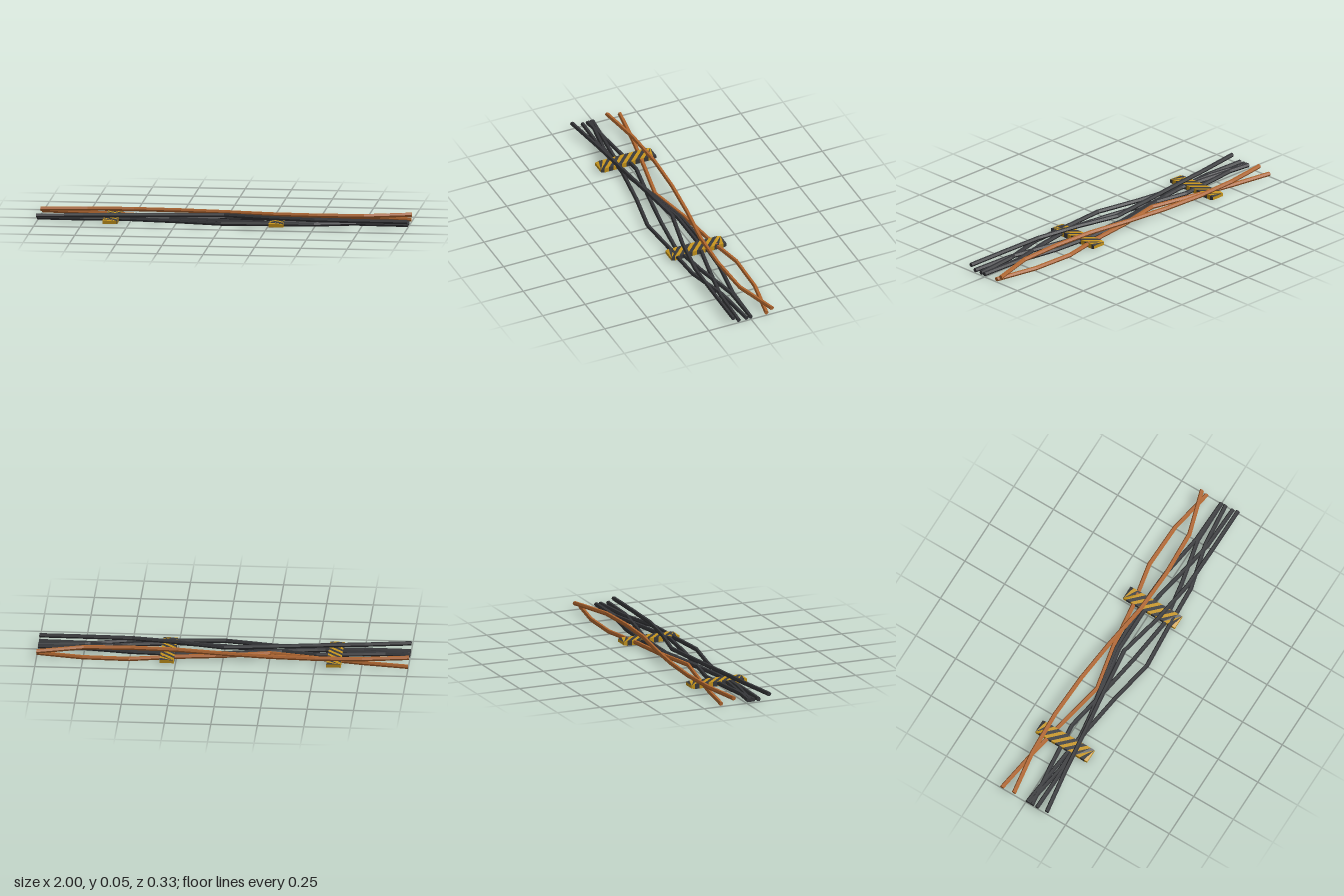
import * as THREE from 'three';

const mat = (name, color) => {
  const m = new THREE.MeshStandardMaterial({ color });
  m.name = name;
  return m;
};

// Skin a list of equal rings of points (counter-clockwise seen from the last
// ring's side) and close both ends; faces are flat.
// groupOf(k) picks the material index of the band after ring k; ends use 0.
function skin(rings, groupOf = () => 0) {
  const n = rings[0].length;
  const last = rings.length - 1;
  const pos = [];
  const geo = new THREE.BufferGeometry();
  const tri = (a, b, c) => pos.push(...a, ...b, ...c);
  for (let k = 0; k < last; k++) {
    for (let i = 0; i < n; i++) {
      const j = (i + 1) % n;
      tri(rings[k][i], rings[k][j], rings[k + 1][j]);
      tri(rings[k][i], rings[k + 1][j], rings[k + 1][i]);
    }
    geo.addGroup(k * n * 6, n * 6, groupOf(k));
  }
  for (let i = 1; i < n - 1; i++) {
    tri(rings[0][0], rings[0][i + 1], rings[0][i]);
    tri(rings[last][0], rings[last][i], rings[last][i + 1]);
  }
  geo.addGroup(last * n * 6, (n - 2) * 6, 0);
  geo.setAttribute('position', new THREE.Float32BufferAttribute(pos, 3));
  geo.computeVertexNormals();
  return geo;
}

// Six-sided cable along x; zs are sideways positions at even steps
function cableGeometry(y, zs, r = 0.012) {
  const rings = zs.map((z, k) => {
    const ring = [];
    for (let i = 0; i < 6; i++) {
      const a = (i * Math.PI) / 3;
      ring.push([-1 + (2 * k) / (zs.length - 1), y + r * Math.sin(a), z - r * Math.cos(a)]);
    }
    return ring;
  });
  return skin(rings);
}

// Flat clamp bar along z with diagonal bands and chamfered ends
function clampGeometry(x, halfW = 0.0385, halfL = 0.163, height = 0.027) {
  const band = 0.026, slant = 1, chamfer = 0.005;
  const rings = [];
  for (let k = -9; k <= 9; k++) {
    rings.push([[-1, 0], [1, 0], [1, 1], [-1, 1]].map(([side, top]) => {
      const z = THREE.MathUtils.clamp(k * band + slant * side * halfW, -halfL, halfL);
      const inset = Math.abs(z) === halfL ? chamfer : 0;
      return [x + side * halfW, top ? height - inset : inset, z];
    }));
  }
  return skin(rings, (k) => k % 2);
}

export function createModel() {
  const model = new THREE.Group();
  model.name = 'cableBundle';
  const black = mat('black rubber', 0x353639);
  const copper = mat('copper orange', 0xb0662f);
  const yellow = mat('warning yellow', 0xc8961c);
  const dark = mat('dark stripe', 0x3a3b3e);

  const add = (name, geometry, material) => {
    const mesh = new THREE.Mesh(geometry, material);
    mesh.name = name;
    model.add(mesh);
  };

  const low = 0.016, high = 0.037;

  // Black cables: four pass through the clamps, one lies on top
  [
    [low, [0.01, 0.035, 0.06, 0.005, -0.045, -0.055, -0.043, -0.005, 0.002]],
    [low, [0.07, 0.075, 0.052, 0.016, -0.03, -0.03, 0.02, 0.065, 0.073]],
    [low, [0.04, 0.008, -0.016, 0.03, 0.07, 0.1, 0.06, 0.005, 0.002]],
    [low, [0.022, 0.062, 0.065, 0.1, 0.148, 0.13, 0.117, 0.052, 0.027]],
    [high, [0.132, 0.095, 0.065, 0.032, 0.003, 0.06, 0.098, 0.103, 0.105]],
  ].forEach(([y, zs], i) => add(`blackCable${i + 1}`, cableGeometry(y, zs), black));

  // Orange cables: one low, one on top
  [
    [low, [-0.15, -0.112, -0.064, -0.012, -0.064, -0.096, -0.145, -0.138, -0.091]],
    [high, [-0.075, -0.112, -0.123, -0.112, -0.085, -0.048, -0.037, -0.048, -0.123]],
  ].forEach(([y, zs], i) => add(`orangeCable${i + 1}`, cableGeometry(y, zs), copper));

  // Striped clamps
  [-0.6, 0.297].forEach((x, i) =>
    add(`stripedClamp${i + 1}`, clampGeometry(x), [yellow, dark]));

  return model;
}
